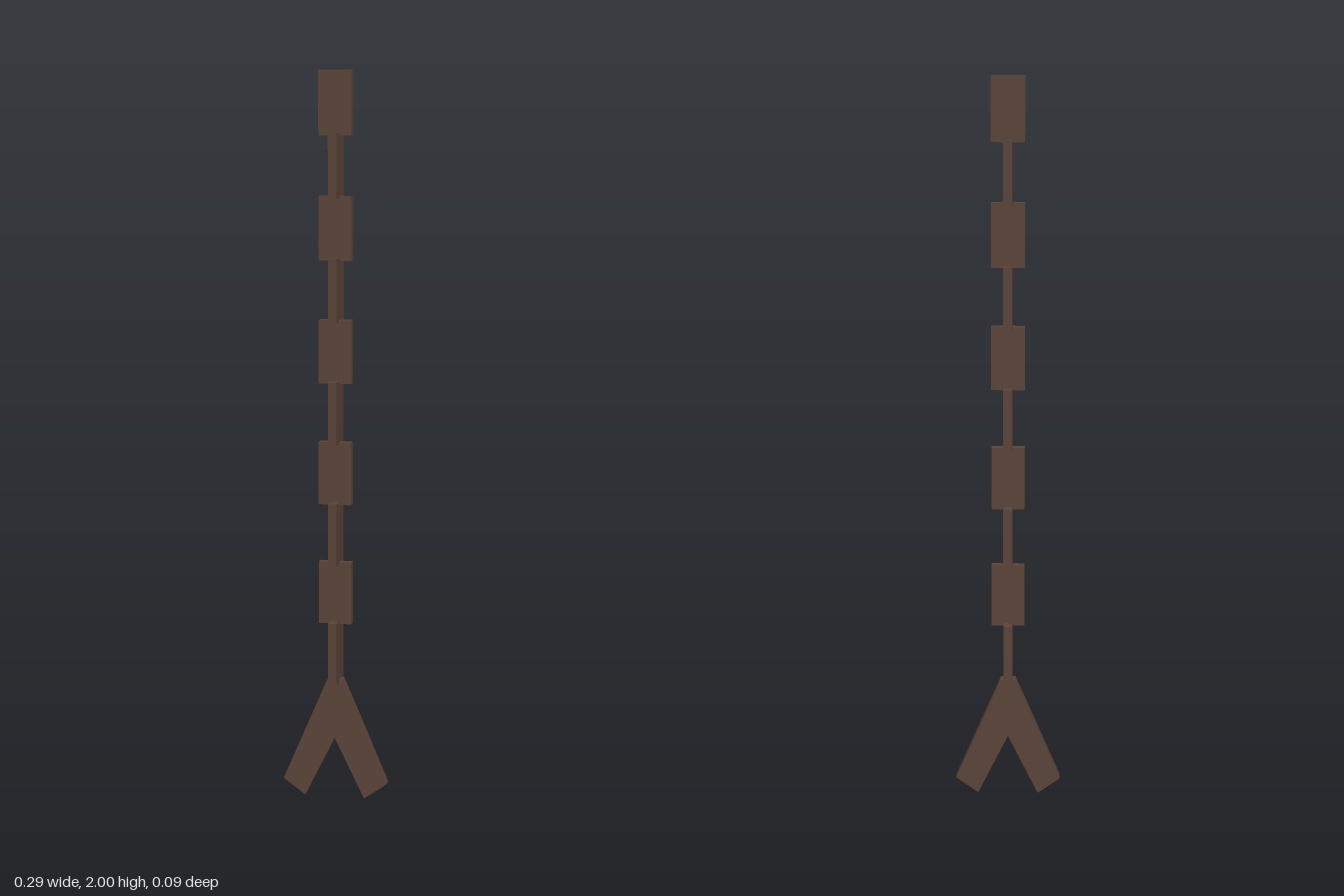
import * as THREE from 'three';

export function createModel() {
  const group = new THREE.Group();
  const material = new THREE.MeshStandardMaterial({ color: 0x5a4337, flatShading: true });

  // Chain of flat links, each turned a quarter against the one above
  const pitch = 1 / 6, linkHeight = 0.173;
  const linkGeometry = new THREE.BoxGeometry(0.091, linkHeight, 0.024);
  for (let i = 0; i < 10; i++) {
    const link = new THREE.Mesh(linkGeometry, material);
    link.name = `link${i + 1}`;
    link.position.y = 2 - linkHeight / 2 - i * pitch;
    link.rotation.y = (i % 2) * Math.PI / 2;
    group.add(link);
  }

  // Forked end: two splayed prongs joined at the top
  const half = [[0.021, 0.335], [0.146, 0.044], [0.084, 0.0], [0, 0.17]];
  const outline = [...half, ...half.slice(0, 3).reverse().map(([x, y]) => [-x, y])];
  const shape = new THREE.Shape(outline.map(([x, y]) => new THREE.Vector2(x, y)));
  const depth = 0.034;
  const forkGeometry = new THREE.ExtrudeGeometry(shape, { depth, bevelEnabled: false });
  forkGeometry.translate(0, 0, -depth / 2);
  const fork = new THREE.Mesh(forkGeometry, material);
  fork.name = 'forkedEnd';
  group.add(fork);

  return group;
}
